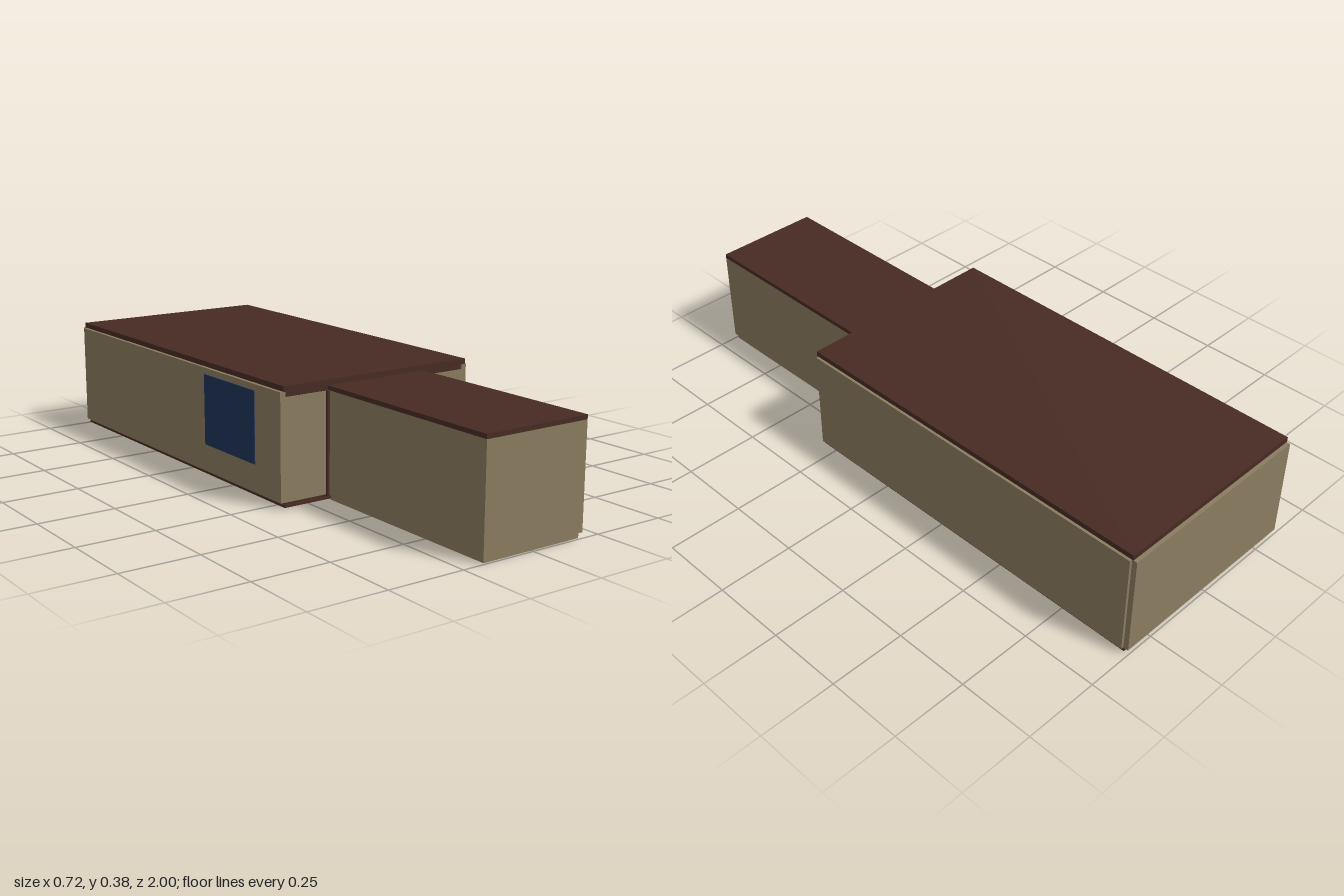
import * as THREE from 'three';

export function createModel() {
  const model = new THREE.Group();
  model.name = 'longHouse';

  const mat = (name, color) => {
    const m = new THREE.MeshStandardMaterial({ color });
    m.name = name;
    return m;
  };
  const beige = mat('beige wall', 0x8b7c60);
  const brown = mat('dark brown wood', 0x472b23);
  const navy = mat('navy panel', 0x1f3358);

  // Box given by its extents along each axis
  const slab = (name, material, [x0, x1], [y0, y1], [z0, z1]) => {
    const mesh = new THREE.Mesh(new THREE.BoxGeometry(x1 - x0, y1 - y0, z1 - z0), material);
    mesh.position.set((x0 + x1) / 2, (y0 + y1) / 2, (z0 + z1) / 2);
    mesh.name = name;
    model.add(mesh);
    return mesh;
  };

  // Main hall: stepped floor and roof
  slab('hallFloor', brown, [-0.343, 0.35], [0.005, 0.012], [-0.985, 0.303]);
  slab('hallFloorStep', brown, [-0.335, 0.341], [0.012, 0.02], [-0.978, 0.295]);
  slab('hallCeiling', brown, [-0.335, 0.341], [0.342, 0.36], [-0.98, 0.297]);
  slab('hallRoof', brown, [-0.346, 0.352], [0.36, 0.377], [-0.988, 0.305]);

  // Main hall: outer walls, with the corners left open
  slab('rightWall', beige, [-0.355, -0.337], [0.02, 0.359], [-0.983, 0.3]);
  slab('leftWall', beige, [0.343, 0.36], [0.02, 0.359], [-0.983, 0.3]);
  slab('backWall', beige, [-0.345, 0.351], [0.02, 0.359], [-1, -0.983]);
  slab('frontWallRight', beige, [-0.337, -0.19], [0.02, 0.342], [0.283, 0.3]);
  slab('frontWallLeft', beige, [0.196, 0.343], [0.02, 0.342], [0.283, 0.3]);

  // Dark posts where the corridor meets the hall
  slab('postRight', brown, [-0.19, -0.181], [0.015, 0.342], [0.285, 0.306]);
  slab('postLeft', brown, [0.187, 0.196], [0.015, 0.342], [0.285, 0.306]);

  // Corridor: floor, walls and roof
  slab('corridorFloor', beige, [-0.173, 0.18], [0, 0.018], [0.3, 0.992]);
  slab('corridorWallRight', beige, [-0.181, -0.167], [0.018, 0.343], [0.3, 0.986]);
  slab('corridorWallLeft', beige, [0.173, 0.187], [0.018, 0.343], [0.3, 0.986]);
  slab('corridorEndWall', beige, [-0.181, 0.187], [0.018, 0.343], [0.986, 1]);
  slab('corridorRoof', brown, [-0.181, 0.187], [0.343, 0.357], [0.297, 1]);

  // Thin hanging panel on the right wall, with its edge strip and peg
  slab('wallPanel', navy, [-0.363, -0.3605], [0.112, 0.341], [-0.12, 0.17]);
  slab('panelEdge', brown, [-0.357, -0.355], [0.115, 0.335], [-0.13, -0.112]);
  const peg = new THREE.Mesh(new THREE.SphereGeometry(0.022, 16, 12), brown);
  peg.scale.x = 0.2;
  peg.position.set(-0.3555, 0.293, -0.02);
  peg.name = 'panelPeg';
  model.add(peg);

  return model;
}
